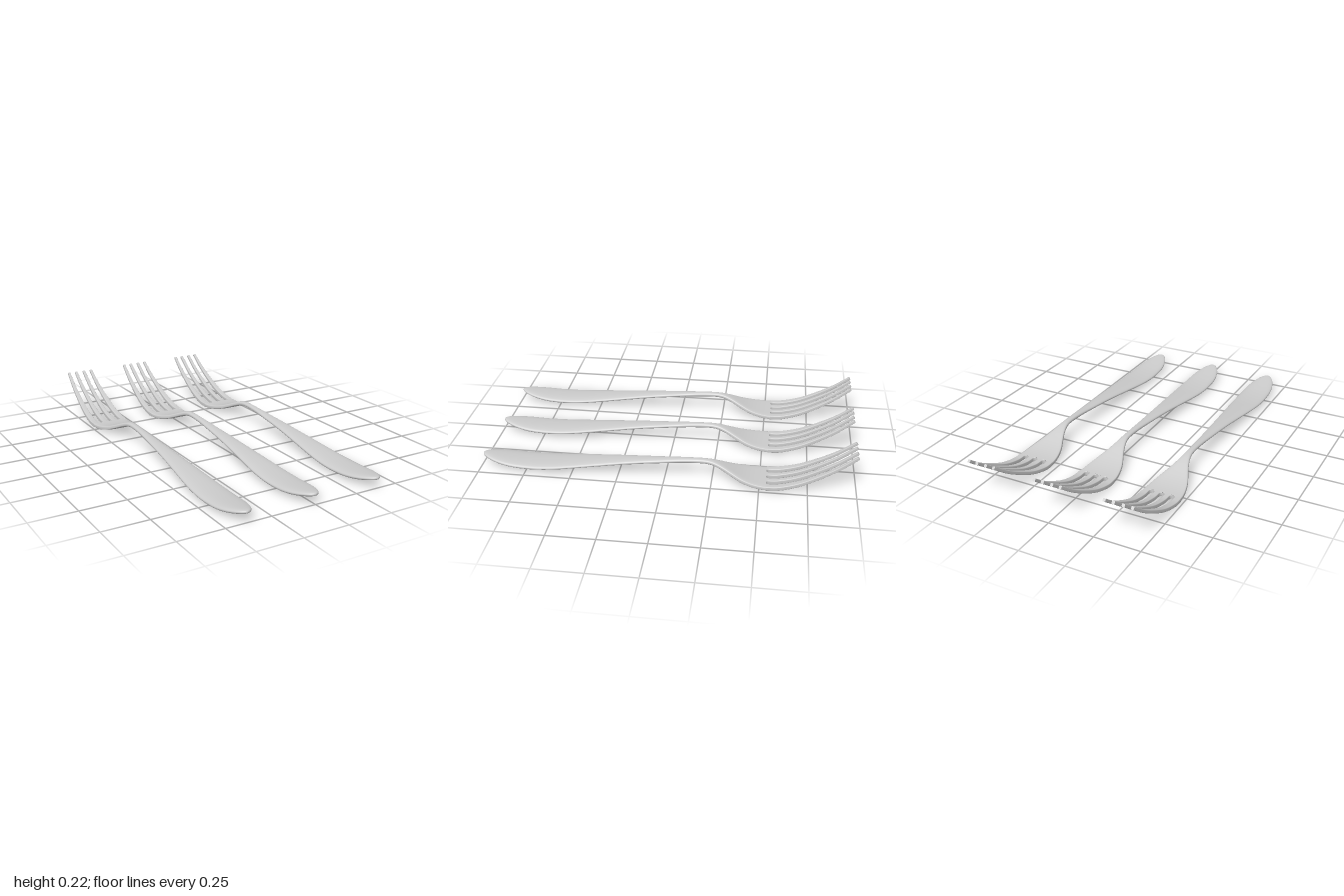
import * as THREE from 'three';

const SLOT_Z = -0.535; // where the gaps between the tines begin
const TIP_Z = -0.992;
const material = new THREE.MeshStandardMaterial({ color: 0xcccccc });

// Stations along the fork: z, centre height, half width, thickness
const STATIONS = [
  [1.0, 0.053, 0.070, 0.032], [0.9, 0.035, 0.077, 0.035], [0.8, 0.024, 0.080, 0.037],
  [0.7, 0.022, 0.082, 0.036], [0.6, 0.027, 0.078, 0.034], [0.5, 0.037, 0.070, 0.032],
  [0.4, 0.048, 0.060, 0.030], [0.2, 0.069, 0.041, 0.027], [0.0, 0.085, 0.026, 0.025],
  [-0.1, 0.092, 0.020, 0.025], [-0.2, 0.095, 0.018, 0.025], [-0.25, 0.090, 0.022, 0.025],
  [-0.3, 0.074, 0.035, 0.025], [-0.35, 0.053, 0.055, 0.025], [-0.4, 0.034, 0.077, 0.025],
  [-0.45, 0.021, 0.092, 0.025], [-0.5, 0.014, 0.101, 0.025], [-0.55, 0.013, 0.105, 0.024],
  [-0.6, 0.017, 0.105, 0.023], [-0.7, 0.045, 0.101, 0.021], [-0.8, 0.092, 0.095, 0.019],
  [-0.9, 0.150, 0.088, 0.017], [-1.0, 0.224, 0.080, 0.016],
];

// Smooth interpolation of one station column at z
function sample(z, col) {
  const S = STATIONS, last = S.length - 1;
  let i = 0;
  while (i < last - 1 && z < S[i + 1][0]) i++;
  const slope = (k) => {
    const a = S[Math.max(k - 1, 0)], b = S[Math.min(k + 1, last)];
    return (b[col] - a[col]) / (b[0] - a[0]);
  };
  const h = S[i + 1][0] - S[i][0], t = (z - S[i][0]) / h, t2 = t * t, t3 = t2 * t;
  return (2 * t3 - 3 * t2 + 1) * S[i][col] + (t3 - 2 * t2 + t) * h * slope(i)
    + (3 * t2 - 2 * t3) * S[i + 1][col] + (t3 - t2) * h * slope(i + 1);
}

// Skin of superellipse sections { z, x0, x1, thick, power }, square to the fork's curve
function loft(sections, sides, capEnd) {
  const pos = [], index = [];
  const addRing = ({ z, x0, x1, thick, power }) => {
    const e = 0.004;
    const zc = Math.min(z, 1 - e);
    const slope = (sample(zc + e, 1) - sample(zc - e, 1)) / (2 * e);
    const len = Math.hypot(1, slope), y = sample(z, 1);
    for (let j = 0; j < sides; j++) {
      const a = (j / sides) * Math.PI * 2;
      const round = (v) => Math.sign(v) * Math.abs(v) ** (2 / power);
      const v = round(Math.sin(a)) * thick / 2;
      pos.push((x0 + x1) / 2 + round(Math.cos(a)) * (x1 - x0) / 2, y + v / len, z - v * slope / len);
    }
  };
  sections.forEach(addRing);
  for (let i = 0; i < sections.length - 1; i++) {
    for (let j = 0; j < sides; j++) {
      const k = (j + 1) % sides;
      const a = i * sides + j, b = i * sides + k, c = a + sides, d = b + sides;
      index.push(a, c, b, b, c, d);
    }
  }
  if (capEnd) {
    const start = sections.length * sides;
    addRing(sections[sections.length - 1]);
    for (let j = 1; j < sides - 1; j++) index.push(start, start + j + 1, start + j);
  }
  const g = new THREE.BufferGeometry();
  g.setAttribute('position', new THREE.Float32BufferAttribute(pos, 3));
  g.setIndex(index);
  g.computeVertexNormals();
  return g;
}

// Handle, neck and the solid part of the head, rounded off at the handle end
function bodyGeometry() {
  const sections = [];
  const add = (z, w, t) => {
    const half = sample(z, 2) * w;
    const power = THREE.MathUtils.lerp(2.3, 6, THREE.MathUtils.smoothstep(-z, 0.2, 0.5));
    sections.push({ z, x0: -half, x1: half, thick: sample(z, 3) * t, power });
  };
  for (let i = 0; i < 16; i++) {
    const a = (i / 16) * Math.PI / 2;
    add(0.8 + 0.2 * Math.cos(a), Math.max(Math.sin(a), 0.001), Math.max(Math.sin(a) ** 0.5, 0.001));
  }
  for (let i = 0; i <= 80; i++) add(THREE.MathUtils.lerp(0.8, SLOT_Z, i / 80), 1, 1);
  return loft(sections, 36, false);
}

// Edges of a gap at z; side is -1, 0 or 1, and the gap has a rounded root
function slotEdges(side, z) {
  const t = (SLOT_Z - z) / (SLOT_Z - TIP_Z), d = (SLOT_Z - z) / 0.014;
  const open = d < 1 ? Math.sqrt(Math.max(0, 1 - (1 - d) ** 2)) : 1;
  const half = open * THREE.MathUtils.lerp(0.0135, side === 0 ? 0.018 : 0.016, t);
  const centre = side * THREE.MathUtils.lerp(0.057, 0.05, t);
  return [centre - half, centre + half];
}

// One of four tines, numbered from -x to +x
function tineGeometry(n) {
  const zs = [];
  for (let i = 0; i < 10; i++) zs.push(SLOT_Z - 0.014 * (i / 10) ** 2);
  for (let i = 0; i <= 30; i++) zs.push(THREE.MathUtils.lerp(SLOT_Z - 0.014, TIP_Z, i / 30));
  const sections = zs.map((z) => ({
    z,
    x0: n === 0 ? -sample(z, 2) : slotEdges(n - 2, z)[1],
    x1: n === 3 ? sample(z, 2) : slotEdges(n - 1, z)[0],
    thick: sample(z, 3),
    power: 6,
  }));
  return loft(sections, 24, true);
}

export function createModel() {
  const model = new THREE.Group();
  model.name = 'forks';
  const body = bodyGeometry();
  const tines = [0, 1, 2, 3].map(tineGeometry);
  const addMesh = (parent, geometry, name) => {
    const mesh = new THREE.Mesh(geometry, material);
    mesh.name = name;
    parent.add(mesh);
  };

  // Three identical forks side by side
  ['rightFork', 'middleFork', 'leftFork'].forEach((name, i) => {
    const fork = new THREE.Group();
    fork.name = name;
    addMesh(fork, body, 'handleAndHead');
    tines.forEach((g, n) => addMesh(fork, g, `tine${n + 1}`));
    fork.position.x = (i - 1) * 0.382;
    model.add(fork);
  });
  return model;
}
